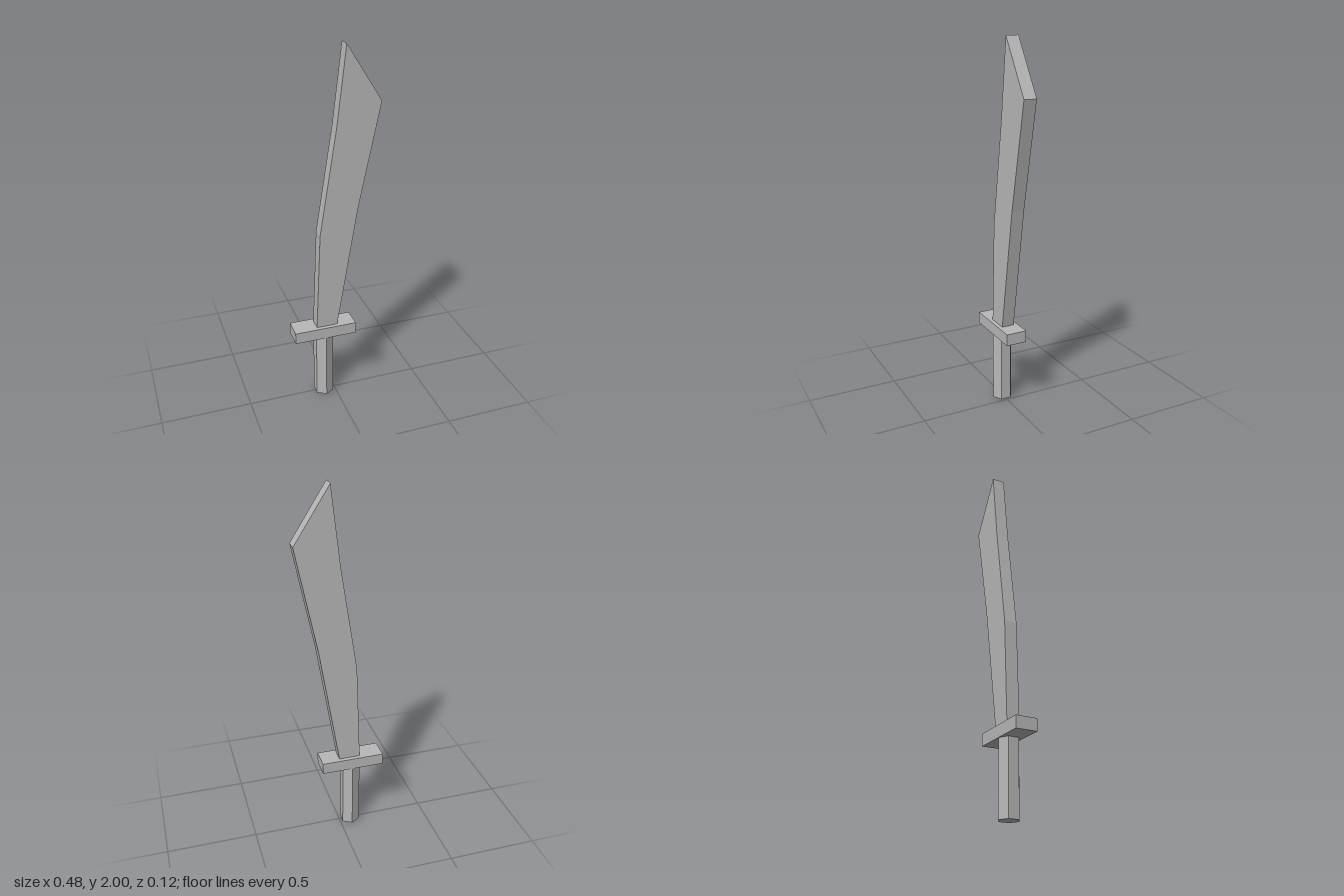
import * as THREE from 'three';

export function createModel() {
  const group = new THREE.Group();
  const steel = new THREE.MeshStandardMaterial({ color: 0xb8b8b8, flatShading: true });
  steel.name = 'steel grey';

  const add = (name, geometry, x, y, z) => {
    const mesh = new THREE.Mesh(geometry, steel);
    mesh.name = name;
    mesh.position.set(x, y, z);
    group.add(mesh);
  };

  // Hexagonal grip, with one edge facing forward
  add('grip', new THREE.CylinderGeometry(0.057, 0.057, 0.39, 6), -0.063, 0.195, 0);

  // Flat crossguard
  add('crossguard', new THREE.BoxGeometry(0.35, 0.065, 0.116), -0.065, 0.4225, 0);

  // Curved blade, widening to a slanted tip
  const outline = [
    [-0.11, 0.455], [0.008, 0.455], [0.12, 1.14], [0.238, 1.71],
    [0.052, 2], [0.002, 1.59], [-0.088, 1.015],
  ].map(([x, y]) => new THREE.Vector2(x, y));
  const thickness = 0.07;
  const blade = new THREE.ExtrudeGeometry(new THREE.Shape(outline), {
    depth: thickness, bevelEnabled: false,
  });
  add('blade', blade, 0, 0, -thickness / 2);

  return group;
}
